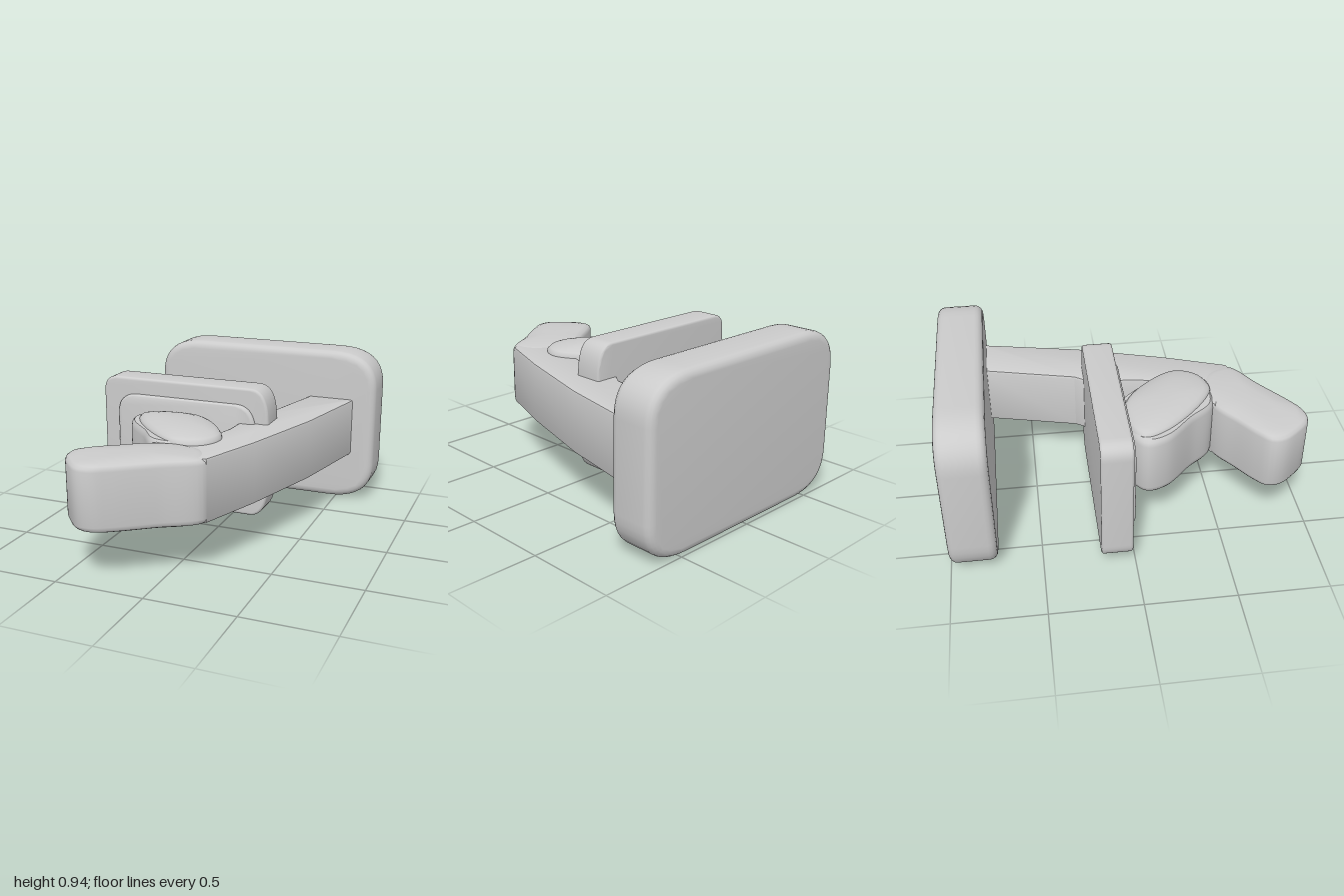
import * as THREE from 'three';
import { toCreasedNormals } from 'three/addons/utils/BufferGeometryUtils.js';

const material = new THREE.MeshStandardMaterial({ color: 0xcccccc });

function part(name, geometry, crease = 0.6) {
  const mesh = new THREE.Mesh(toCreasedNormals(geometry, crease), material);
  mesh.name = name;
  return mesh;
}

// Extrude that keeps its outline size and exact depth despite the bevel
function bevelled(shape, depth, bevel, segments = 4) {
  return new THREE.ExtrudeGeometry(shape, {
    depth: depth - 2 * bevel, bevelThickness: bevel, bevelSize: bevel,
    bevelOffset: -bevel, bevelSegments: segments, curveSegments: 10,
  }).translate(0, 0, bevel);
}

// Upright plate; corner radii are [x, y] for the left and right sides
function plate(name, x0, x1, y0, y1, z0, z1, left, right, bevel) {
  const [lx, ly] = left, [rx, ry] = right;
  const s = new THREE.Shape();
  s.moveTo(x0 + lx, y0);
  s.lineTo(x1 - rx, y0);
  s.quadraticCurveTo(x1, y0, x1, y0 + ry);
  s.lineTo(x1, y1 - ry);
  s.quadraticCurveTo(x1, y1, x1 - rx, y1);
  s.lineTo(x0 + lx, y1);
  s.quadraticCurveTo(x0, y1, x0, y1 - ly);
  s.lineTo(x0, y0 + ly);
  s.quadraticCurveTo(x0, y0, x0 + lx, y0);
  return part(name, bevelled(s, z1 - z0, bevel).translate(0, 0, z0));
}

// Horizontal body: a smooth closed plan outline [x, z] lofted through rings [scale, y]
function domed(name, plan, rings, n = 72) {
  const curve = new THREE.CatmullRomCurve3(
    plan.map(([x, z]) => new THREE.Vector3(x, 0, z)), true, 'centripetal');
  const outline = curve.getSpacedPoints(n).slice(0, n);
  if (THREE.ShapeUtils.area(outline.map(p => ({ x: p.x, y: -p.z }))) < 0) outline.reverse();
  const centre = new THREE.Vector3();
  outline.forEach(p => centre.addScaledVector(p, 1 / n));

  const positions = [], index = [];
  rings.forEach(([scale, y], i) => {
    outline.forEach((p, j) => {
      positions.push(centre.x + (p.x - centre.x) * scale, y, centre.z + (p.z - centre.z) * scale);
      if (i === rings.length - 1) return;
      const a = i * n + j, b = i * n + (j + 1) % n;
      index.push(a, b, a + n, b, b + n, a + n);
    });
  });
  const g = new THREE.BufferGeometry();
  g.setAttribute('position', new THREE.Float32BufferAttribute(positions, 3));
  g.setIndex(index);
  return part(name, g, 0.7);
}

// Mirrors the upper half of a ring profile [scale, height above middle]
function mirrored(middle, upper) {
  return [
    ...upper.slice().reverse().map(([s, h]) => [s, middle - h]),
    ...upper.map(([s, h]) => [s, middle + h]),
  ];
}

export function createModel() {
  const group = new THREE.Group();
  group.name = 'bracket';

  // Large rear plate
  group.add(plate('rearPlate', -0.7, 0.73, 0, 0.94, -1, -0.74, [0.28, 0.23], [0.28, 0.23], 0.045));

  // Smaller clamp plate with a thin raised pad on its front
  group.add(plate('clampPlate', -0.74, 0.29, 0.09, 0.845, -0.19, -0.02, [0.09, 0.09], [0.11, 0.2], 0.015));
  group.add(plate('clampPad', -0.64, 0.22, 0.19, 0.75, -0.06, 0.005, [0.12, 0.12], [0.12, 0.18], 0.018));

  // Slanting arm from the rear plate to the hook, drawn in plan
  const plan = [
    [0.32, -0.78], [0.6, -0.78], [0.585, -0.7], [0.48, -0.2], [0.33, 0.3], [0.2, 0.655],
    [0.02, 0.72], [-0.18, 0.51], [0.02, 0.32], [0.09, 0.19], [0.11, 0.12],
    [0.125, -0.08], [0.15, -0.19], [0.185, -0.24],
  ];
  const armShape = new THREE.Shape(plan.map(([x, z]) => new THREE.Vector2(x, -z)));
  const arm = bevelled(armShape, 0.35, 0.014, 2).rotateX(-Math.PI / 2).translate(0, 0.297, 0);
  group.add(part('arm', arm, 0.45));

  // Rounded hook at the front end
  group.add(domed('hook', [
    [0.2, 0.655], [0.0, 0.8], [-0.2, 0.945], [-0.28, 0.99], [-0.36, 0.99], [-0.45, 0.91],
    [-0.51, 0.82], [-0.51, 0.75], [-0.45, 0.69], [-0.32, 0.6], [-0.19, 0.51], [0.0, 0.46], [0.16, 0.52],
  ], mirrored(0.47, [[1, 0.145], [0.985, 0.16], [0.94, 0.172], [0.8, 0.183], [0.4, 0.19], [0, 0.192]])));

  // Oblong pivot block between the clamp plate and the arm
  group.add(domed('pivotBlock', [
    [-0.48, 0.09], [-0.44, 0.04], [-0.34, 0], [-0.12, -0.03], [0.08, 0.18],
    [0.15, 0.33], [0.08, 0.48], [-0.17, 0.5], [-0.3, 0.36], [-0.45, 0.2],
  ], mirrored(0.48, [[1, 0.14], [0.98, 0.165], [0.93, 0.18], [0, 0.185]])));

  // Domed caps on the top and bottom of the pivot
  group.add(domed('pivotCaps', [
    [-0.44, 0.08], [-0.37, 0.02], [-0.13, 0.01], [0.07, 0.18], [0.15, 0.34],
    [0.1, 0.46], [-0.03, 0.51], [-0.16, 0.45], [-0.4, 0.2],
  ], mirrored(0.48, [[1, 0.16], [0.99, 0.18], [0.94, 0.196], [0.84, 0.205], [0.6, 0.22], [0.3, 0.227], [0, 0.229]])));

  return group;
}
